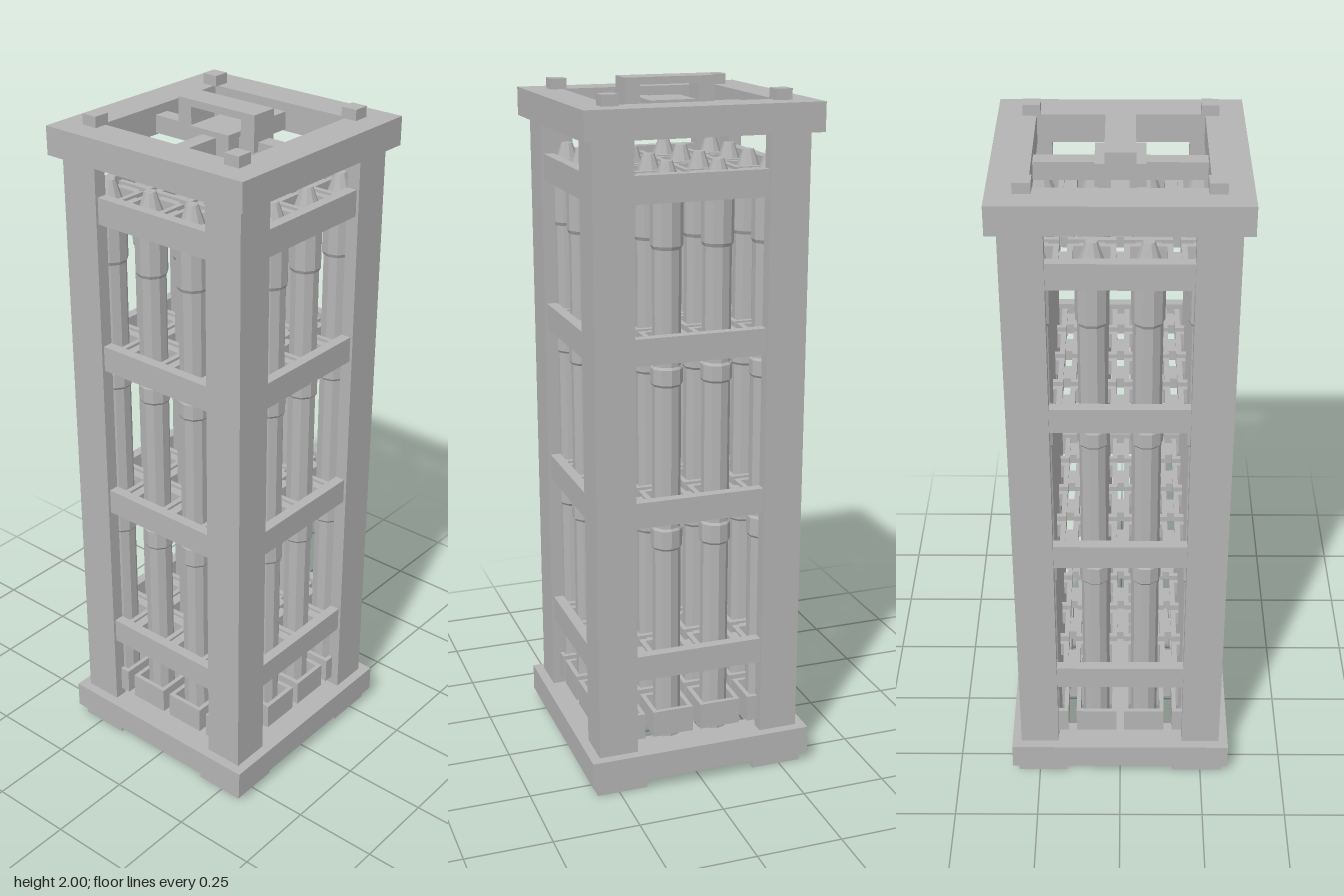
import * as THREE from 'three';

const grey = new THREE.MeshStandardMaterial({ color: 0xb4b4b4 });
grey.name = 'plainGrey';

function add(parent, name, geometry, x = 0, y = 0, z = 0) {
  const mesh = new THREE.Mesh(geometry, grey);
  mesh.name = name;
  mesh.position.set(x, y, z);
  parent.add(mesh);
  return mesh;
}

// Box given by its min and max on each axis
function box(parent, name, x0, x1, y0, y1, z0, z1) {
  return add(parent, name, new THREE.BoxGeometry(x1 - x0, y1 - y0, z1 - z0),
    (x0 + x1) / 2, (y0 + y1) / 2, (z0 + z1) / 2);
}

function square(target, h, cx = 0, cy = 0) {
  target.moveTo(cx - h, cy - h);
  target.lineTo(cx + h, cy - h);
  target.lineTo(cx + h, cy + h);
  target.lineTo(cx - h, cy + h);
  target.closePath();
  return target;
}

// Flat square plate with square holes, lying in XZ with its underside at y = 0
function plate(half, holes, height) {
  const shape = square(new THREE.Shape(), half);
  for (const [h, x, y] of holes) shape.holes.push(square(new THREE.Path(), h, x, y));
  return new THREE.ExtrudeGeometry(shape, { depth: height, bevelEnabled: false }).rotateX(-Math.PI / 2);
}

const signs = [-1, 1];
const pitch = [-0.22, -0.073, 0.073, 0.22];
const railLevels = [0.335, 0.80, 1.265, 1.70];

export function createModel() {
  const model = new THREE.Group();
  model.name = 'rodRack';

  // Base with four openings, and the hollow top frame
  const openings = [];
  for (const x of signs) for (const z of signs) openings.push([0.1015, x * 0.1265, z * 0.1265]);
  add(model, 'base', plate(0.333, openings, 0.08), 0, 0.035, 0);
  add(model, 'topFrame', plate(0.333, [[0.228, 0, 0]], 0.08), 0, 1.87, 0);

  // Feet, angle-section posts and top studs at each corner
  const angle = new THREE.Shape();
  [[0.305, 0.305], [0.19, 0.305], [0.19, 0.267], [0.267, 0.267], [0.267, 0.19], [0.305, 0.19]]
    .forEach(([x, y], i) => (i ? angle.lineTo(x, y) : angle.moveTo(x, y)));
  angle.closePath();
  const postGeometry = new THREE.ExtrudeGeometry(angle, { depth: 1.755, bevelEnabled: false }).rotateX(-Math.PI / 2);
  for (let i = 0; i < 4; i++) {
    add(model, 'cornerPost', postGeometry, 0, 0.115, 0).rotation.y = i * Math.PI / 2;
  }
  for (const x of signs) for (const z of signs) {
    add(model, 'foot', new THREE.BoxGeometry(0.15, 0.035, 0.15), x * 0.24, 0.0175, z * 0.24);
    add(model, 'stud', new THREE.BoxGeometry(0.047, 0.03, 0.047), x * 0.2415, 1.965, z * 0.2415);
  }

  // Side rails between the posts
  for (const y of railLevels) for (const s of signs) {
    add(model, 'rail', new THREE.BoxGeometry(0.38, 0.075, 0.03), 0, y + 0.0375, s * 0.282);
    add(model, 'rail', new THREE.BoxGeometry(0.03, 0.075, 0.38), s * 0.282, y + 0.0375, 0);
  }

  // Cross bars, hub and lifting handle
  box(model, 'crossBar', -0.228, 0.228, 1.875, 1.925, -0.023, 0.023);
  box(model, 'crossBar', -0.023, 0.023, 1.875, 1.925, -0.228, 0.228);
  box(model, 'hub', -0.066, 0.066, 1.875, 1.94, -0.067, 0.067);
  box(model, 'handleGrip', -0.13, 0.13, 1.98, 2, -0.04, 0.04);
  for (const s of signs) add(model, 'handleLeg', new THREE.BoxGeometry(0.045, 0.08, 0.08), s * 0.1075, 1.94, 0);

  // One rod: stepped profile with collars and a tapered tip
  const rodProfile = [
    [0, 0.12], [0.04, 0.12], [0.04, 0.705], [0.045, 0.712], [0.045, 0.765], [0.04, 0.772],
    [0.04, 1.185], [0.045, 1.192], [0.045, 1.235], [0.04, 1.242],
    [0.04, 1.565], [0.045, 1.575], [0.045, 1.715], [0.042, 1.725], [0.016, 1.80], [0, 1.80],
  ].map(([r, y]) => new THREE.Vector2(r, y));
  const flat = new THREE.LatheGeometry(rodProfile, 10).toNonIndexed();
  flat.computeVertexNormals();

  // Rods, their sockets and the spacer cells at every rail level
  const socket = plate(0.061, [[0.048, 0, 0]], 0.078);
  const cell = plate(0.063, [[0.048, 0, 0]], 0.045);
  const rods = new THREE.Group();
  rods.name = 'rodBundle';
  model.add(rods);
  for (const x of pitch) for (const z of pitch) {
    add(rods, 'rod', flat, x, 0, z);
    add(rods, 'socket', socket, x, 0.14, z);
    for (const y of railLevels) add(rods, 'spacerCell', cell, x, y + 0.015, z);
  }

  // Short links joining neighbouring spacer cells
  for (const y of railLevels) for (const a of pitch) for (const b of [-0.1465, 0, 0.1465]) {
    add(rods, 'spacerLink', new THREE.BoxGeometry(0.066, 0.03, 0.026), a, y + 0.0375, b);
    add(rods, 'spacerLink', new THREE.BoxGeometry(0.026, 0.03, 0.066), b, y + 0.0375, a);
  }
  return model;
}
